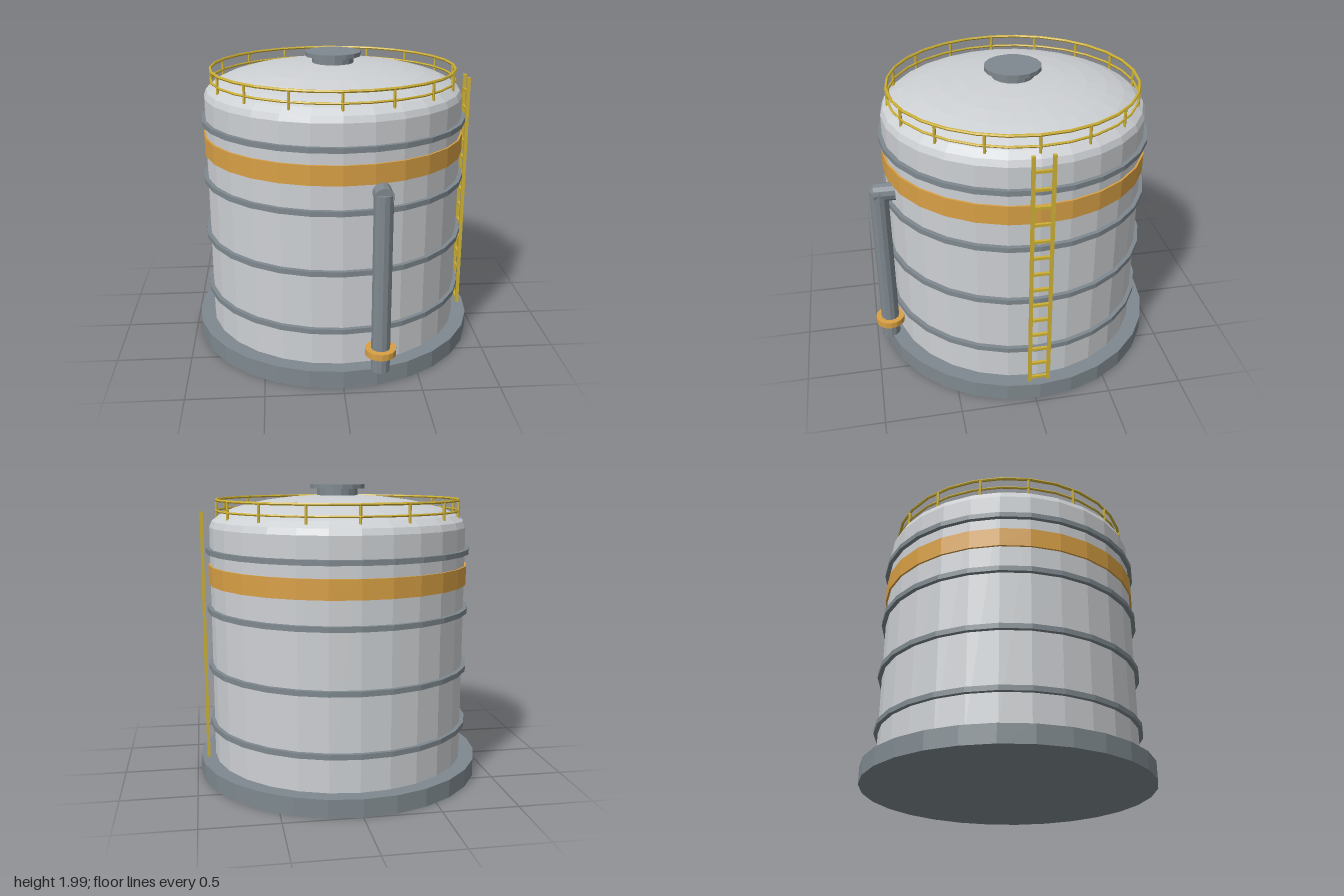
import * as THREE from 'three';

const CZ = -0.03;   // tank axis offset in z
const SIDES = 28;

function material(name, color) {
  const m = new THREE.MeshStandardMaterial({ color, flatShading: true });
  m.name = name;
  return m;
}

export function createModel() {
  const shell = material('pale shell grey', 0xcdd0d3);
  const steel = material('steel grey', 0x7f898f);
  const orange = material('orange paint', 0xd8a045);
  const yellow = material('safety yellow', 0xcdb035);

  const model = new THREE.Group();
  model.name = 'storageTank';
  const tank = new THREE.Group();
  tank.name = 'tank';
  tank.position.z = CZ;
  model.add(tank);

  const add = (parent, name, geometry, mat, x = 0, y = 0, z = 0) => {
    const mesh = new THREE.Mesh(geometry, mat);
    mesh.name = name;
    mesh.position.set(x, y, z);
    parent.add(mesh);
    return mesh;
  };
  // Upright cylinder between two heights
  const drum = (parent, name, r, y0, y1, mat, sides = SIDES, x = 0, z = 0) =>
    add(parent, name, new THREE.CylinderGeometry(r, r, y1 - y0, sides), mat, x, (y0 + y1) / 2, z);

  // Foundation, shell and painted band
  drum(tank, 'base', 0.973, 0, 0.12, steel);
  drum(tank, 'shell', 0.872, 0.11, 1.71, shell);
  drum(tank, 'paintedBand', 0.885, 1.33, 1.457, orange);

  // Stiffening hoops
  for (const y of [0.362, 0.76, 1.157, 1.553]) {
    drum(tank, 'hoop', 0.9, y - 0.017, y + 0.017, steel);
  }

  // Domed roof: a flattened hemisphere
  const dome = new THREE.SphereGeometry(0.872, SIDES, 8, Math.PI / 2, Math.PI * 2, 0, Math.PI / 2);
  dome.scale(1, 0.21 / 0.872, 1);
  add(tank, 'roof', dome, shell, 0, 1.71);

  // Roof hatch
  drum(tank, 'hatchNeck', 0.14, 1.88, 1.965, steel, 16);
  drum(tank, 'hatchLid', 0.188, 1.962, 1.99, steel, 16);

  // Guard rail around the roof
  const railing = new THREE.Group();
  railing.name = 'railing';
  tank.add(railing);
  for (const [y, r] of [[1.888, 0.01], [1.817, 0.008]]) {
    const rail = add(railing, 'rail', new THREE.TorusGeometry(0.822, r, 6, SIDES), yellow, 0, y);
    rail.rotation.x = Math.PI / 2;
  }
  for (let i = 0; i < 16; i++) {
    const a = (i / 16) * Math.PI * 2;
    drum(railing, 'railPost', 0.01, 1.77, 1.89, yellow, 6, 0.82 * Math.sin(a), 0.82 * Math.cos(a));
  }

  // Ladder on the left side
  const ladder = new THREE.Group();
  ladder.name = 'ladder';
  ladder.position.x = 0.922;
  tank.add(ladder);
  for (const s of [-1, 1]) {
    add(ladder, 'ladderStile', new THREE.BoxGeometry(0.022, 1.69, 0.022), yellow, 0, 0.965, s * 0.062);
  }
  for (let i = 0; i < 14; i++) {
    add(ladder, 'ladderRung', new THREE.BoxGeometry(0.018, 0.018, 0.12), yellow, 0, 0.148 + i * 0.12, 0);
  }

  // Feed pipe at the front with its inlet and flange
  const pipe = new THREE.Group();
  pipe.name = 'feedPipe';
  pipe.position.set(0.238, 0, 0.9);
  model.add(pipe);
  drum(pipe, 'riser', 0.061, 0.105, 1.293, steel, 12);
  const inlet = add(pipe, 'inlet', new THREE.CylinderGeometry(0.061, 0.061, 0.14, 12), steel, 0, 1.277, -0.035);
  inlet.rotation.x = Math.PI / 2;
  drum(pipe, 'flange', 0.1, 0.22, 0.263, orange, 16);

  return model;
}
